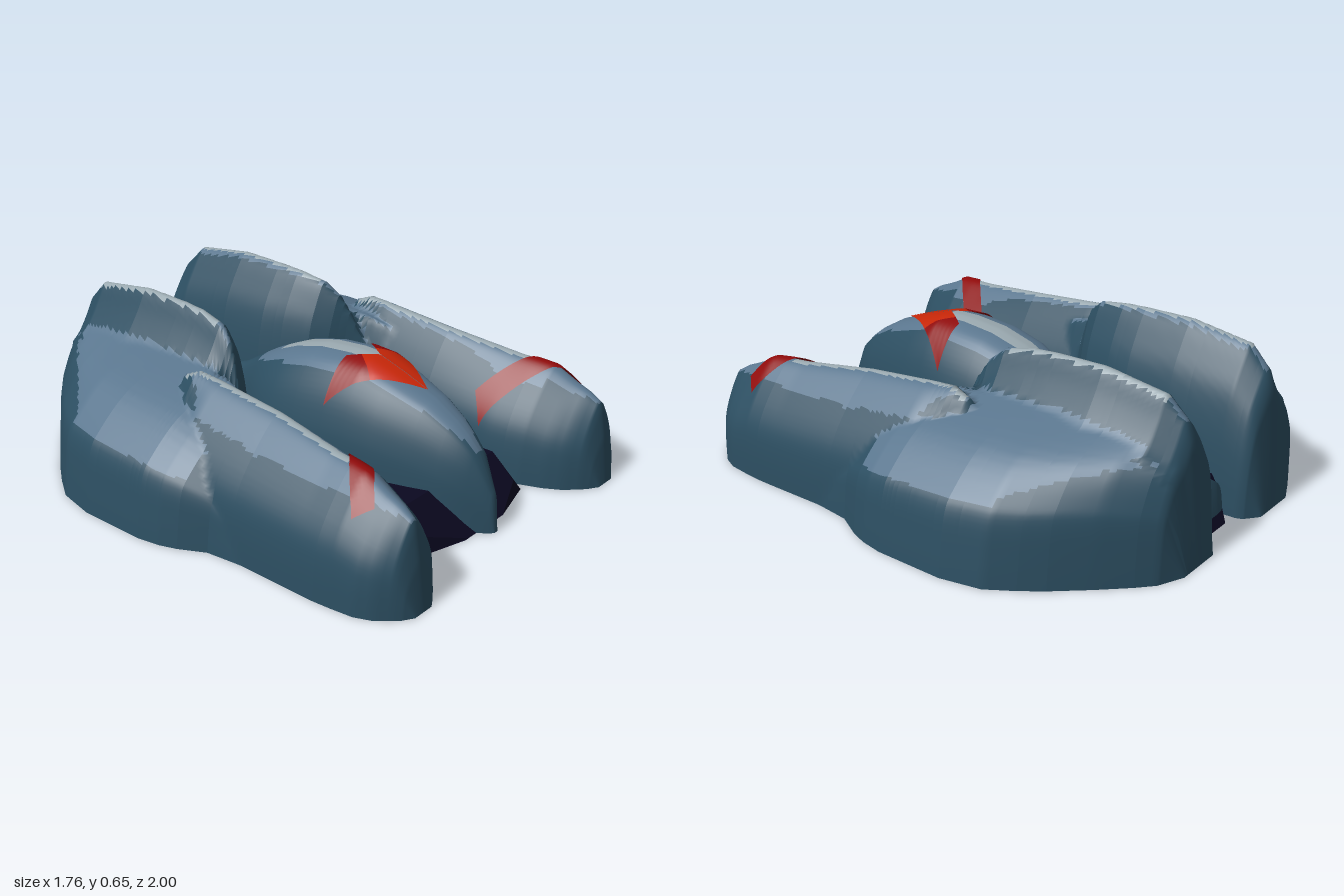
import * as THREE from 'three';

const mat = (name, color) => new THREE.MeshStandardMaterial({ name, color, side: THREE.DoubleSide });
const smooth = (pts, n) =>
  new THREE.SplineCurve(pts.map(p => new THREE.Vector2(...p))).getPoints(n).map(p => [p.x, p.y]);

// Half-profiles: [fraction from rim to ridge, fraction of height]
const POD = smooth([[0, 0], [0.03, 0.26], [0.1, 0.46], [0.25, 0.62], [0.5, 0.79], [0.75, 0.925], [0.9, 0.985], [1, 1]], 24);
const RIDGE = smooth([[0, 0], [0.03, 0.25], [0.12, 0.5], [0.3, 0.72], [0.6, 0.88], [0.85, 0.98], [1, 1]], 24);
const FLANK = smooth([[0, 0], [0.03, 0.22], [0.08, 0.48], [0.18, 0.62], [0.5, 0.85], [1, 1]], 24);
const VALLEY = smooth([[0, 0.7], [0.3, 0.76], [0.65, 0.88], [0.88, 0.98], [1, 1]], 16);
const ROUND = smooth([[0, 0], [0.03, 0.4], [0.1, 0.6], [0.25, 0.78], [0.5, 0.93], [0.75, 0.985], [1, 1]], 24);
const PLATE = [[0, 0], [0.17, 1], [1, 1]];

// Masses of a side pod, front to back: [z, inner x, ridge x, outer x, height]
const frontPod = { inner: POD, outer: POD, sections: [
  [1.0, 0.54, 0.58, 0.63, 0], [0.975, 0.5, 0.585, 0.67, 0.2], [0.95, 0.47, 0.585, 0.695, 0.33],
  [0.9, 0.425, 0.58, 0.735, 0.36], [0.84, 0.39, 0.575, 0.76, 0.385], [0.75, 0.355, 0.57, 0.77, 0.43],
  [0.68, 0.34, 0.56, 0.775, 0.437], [0.6, 0.33, 0.55, 0.775, 0.442], [0.3, 0.325, 0.51, 0.77, 0.48],
  [0, 0.325, 0.5, 0.77, 0.51], [-0.1, 0.35, 0.5, 0.7, 0.52], [-0.17, 0.4, 0.5, 0.63, 0.49],
  [-0.21, 0.44, 0.5, 0.58, 0.42]] };
const rearRidge = { inner: RIDGE, outer: VALLEY, sections: [
  [0.02, 0.35, 0.38, 0.42, 0], [-0.04, 0.32, 0.36, 0.42, 0.4], [-0.08, 0.28, 0.34, 0.43, 0.5],
  [-0.12, 0.22, 0.32, 0.44, 0.57], [-0.18, 0.165, 0.3, 0.45, 0.62], [-0.3, 0.13, 0.287, 0.45, 0.643],
  [-0.4, 0.11, 0.285, 0.45, 0.65], [-0.6, 0.1, 0.285, 0.45, 0.655], [-0.85, 0.1, 0.285, 0.43, 0.62],
  [-0.93, 0.105, 0.28, 0.41, 0.54], [-0.955, 0.115, 0.275, 0.4, 0.48], [-1.0, 0.17, 0.27, 0.36, 0]] };
const rearFlank = { inner: POD, outer: FLANK, sections: [
  [0.4, 0.36, 0.5, 0.765, 0.24], [0.2, 0.35, 0.48, 0.787, 0.35], [0.1, 0.35, 0.45, 0.84, 0.42],
  [0.03, 0.34, 0.43, 0.865, 0.45], [-0.06, 0.33, 0.41, 0.88, 0.475], [-0.34, 0.3, 0.4, 0.88, 0.49],
  [-0.5, 0.3, 0.4, 0.845, 0.49], [-0.6, 0.3, 0.39, 0.78, 0.485], [-0.68, 0.3, 0.385, 0.72, 0.485],
  [-0.8, 0.28, 0.37, 0.615, 0.48], [-0.9, 0.25, 0.33, 0.52, 0.46], [-0.955, 0.2, 0.3, 0.46, 0.43],
  [-1.0, 0.2, 0.25, 0.36, 0]] };

// Section of a mass at z, or null beyond its ends
function sectionAt({ sections }, z) {
  for (let k = 0; k < sections.length - 1; k++) {
    const a = sections[k], b = sections[k + 1];
    if (z <= a[0] && z >= b[0]) return a.map((v, i) => v + (b[i] - v) * (a[0] - z) / (a[0] - b[0]));
  }
  return null;
}

function heightAt(mass, [, xi, xp, xo, h], x) {
  if (x < xi || x > xo) return 0;
  const [u, profile] = x < xp ? [(x - xi) / (xp - xi), mass.inner] : [(xo - x) / (xo - xp), mass.outer];
  const k = Math.min(Math.max(profile.findIndex(p => p[0] >= u), 1), profile.length - 1);
  const [a, b] = [profile[k - 1], profile[k]];
  return h * (a[1] + (b[1] - a[1]) * Math.min(1, (u - a[0]) / (b[0] - a[0])));
}

// Grid of points to a smooth surface; shade(x, z, upwardness) picks each quad's material
function gridGeometry(rows, shade = () => 0) {
  const n = rows[0].length, lists = [[], [], []];
  const s = new THREE.Vector3(), t = new THREE.Vector3();
  for (let j = 0; j < rows.length - 1; j++) {
    for (let i = 0; i < n - 1; i++) {
      const A = rows[j][i], B = rows[j][i + 1], C = rows[j + 1][i], D = rows[j + 1][i + 1];
      s.set(D[0] - A[0], D[1] - A[1], D[2] - A[2]);
      t.set(C[0] - B[0], C[1] - B[1], C[2] - B[2]);
      const up = s.cross(t).normalize().y;
      const a = j * n + i, b = a + 1, c = a + n, d = c + 1;
      lists[shade((A[0] + D[0]) / 2, (A[2] + D[2]) / 2, up)].push(a, b, c, b, d, c);
    }
  }
  const g = new THREE.BufferGeometry();
  g.setAttribute('position', new THREE.Float32BufferAttribute(rows.flat(2), 3));
  g.setIndex(lists.flat());
  let start = 0;
  lists.forEach((list, k) => {
    if (list.length) g.addGroup(start, list.length, k);
    start += list.length;
  });
  g.computeVertexNormals();
  return g;
}

// One open-bottomed shell around several masses
function shell(masses, shade, columns = 80) {
  const zs = new Set(masses.flatMap(m => m.sections.map(s => s[0])));
  for (let k = 0; k <= 100; k++) zs.add(1 - k / 50);
  const rows = [...zs].sort((a, b) => b - a).map(z => {
    const here = masses.map(m => [m, sectionAt(m, z)]).filter(p => p[1]);
    const x0 = Math.min(...here.map(p => p[1][1])), x1 = Math.max(...here.map(p => p[1][3]));
    return Array.from({ length: columns + 1 }, (_, i) => {
      const x = x0 + (x1 - x0) * (1 - Math.cos(Math.PI * i / columns)) / 2;
      const rim = i === 0 || i === columns;
      return [x, rim ? 0 : Math.max(...here.map(p => heightAt(...p, x))), z];
    });
  });
  return gridGeometry(rows, shade);
}

// Symmetric open-bottomed hull from [z, half width, height]
function hull(sections, profile, shade) {
  return gridGeometry(sections.map(([z, w, h]) => [
    ...profile.map(([u, v]) => [w * (u - 1), h * v, z]),
    ...profile.slice(0, -1).reverse().map(([u, v]) => [w * (1 - u), h * v, z]),
  ]), shade);
}

// Thin painted patch laid on a surface; at(s, t) gives its [x, z]
function drape(target, at, ns, nt) {
  const ray = new THREE.Raycaster(), down = new THREE.Vector3(0, -1, 0), rows = [];
  let last = [0, 0, 0];
  for (let j = 0; j <= nt; j++) {
    rows.push(Array.from({ length: ns + 1 }, (_, i) => {
      const [x, z] = at(i / ns, j / nt);
      // a hair off the grid lines, so that no ray slips between two faces
      ray.set(new THREE.Vector3(x + 0.0003, 2, z + 0.0002), down);
      const hit = ray.intersectObject(target)[0];
      if (hit) last = hit.point.addScaledVector(hit.face.normal, 0.007).toArray();
      return last;
    }));
  }
  return gridGeometry(rows);
}

export function createModel() {
  const model = new THREE.Group();
  model.name = 'hoverCraft';
  const blue = mat('dark blue hull', 0x2c4e61);
  const slate = mat('light slate upper panels', 0x5a768e);
  const pale = mat('pale grey ridge lines', 0x9aa9b0);
  const navy = mat('dark navy base', 0x0b0820);
  const red = mat('dark red paint', 0x8e0909);
  const orange = mat('bright red canopy', 0xc62608);
  const hullPaint = [blue, slate, pale];
  const make = (name, geometry, material) => {
    const m = new THREE.Mesh(geometry, material);
    m.name = name;
    return m;
  };

  // Side pod: light upper panels and a pale line along each ridge
  const onRidge = (mass, x, z, front, back) =>
    z < front && z > back && Math.abs(x - sectionAt(mass, z)[2]) < 0.017;
  const sidePod = make('sidePod', shell([frontPod, rearRidge, rearFlank], (x, z, up) => {
    if (onRidge(frontPod, x, z, 0.65, -0.15) || onRidge(rearRidge, x, z, -0.2, -0.86)) return 2;
    return up > 0.66 ? 1 : 0;
  }), hullPaint);
  const podStripe = make('podStripe', drape(sidePod, (s, t) => [
    0.372 + 0.288 * s + 0.05 * (t - 0.5), 0.535 + 0.265 * s - 0.056 * (t - 0.5),
  ], 30, 6), red);

  // Central fuselage tapering into a thin tail
  const fuselage = make('fuselage', hull([
    [0.89, 0.01, 0], [0.87, 0.03, 0.16], [0.8, 0.08, 0.3], [0.75, 0.105, 0.35], [0.7, 0.13, 0.39],
    [0.6, 0.165, 0.45], [0.45, 0.21, 0.505], [0.34, 0.23, 0.54], [0.24, 0.24, 0.543], [0.1, 0.245, 0.53],
    [-0.03, 0.235, 0.495], [-0.12, 0.2, 0.455], [-0.17, 0.175, 0.43], [-0.22, 0.145, 0.4],
    [-0.33, 0.075, 0.33], [-0.45, 0.042, 0.28], [-0.75, 0.036, 0.21], [-0.83, 0.055, 0.19],
    [-0.88, 0.085, 0.17], [-0.9, 0.07, 0],
  ], ROUND, (x, z, up) => {
    if (Math.abs(x) < 0.045 && z < 0.35 && z > -0.12) return 2;
    return up > 0.66 && z > -0.2 ? 1 : 0;
  }), hullPaint);

  // V-shaped canopy paint: outer wings, then the bright middle
  const canopy = (from, to) => drape(fuselage, (s, t) => {
    const k = from + (to - from) * s;
    return [(1 - k) * (0.07 + 0.13 * t), 0.24 + k * (0.1 + 0.22 * t)];
  }, 14, 10);
  const canopyWing = make('canopyWing', canopy(0, 0.45), red);
  const canopyPane = make('canopyPane', canopy(0.45, 1), orange);

  for (const side of [1, -1]) {
    const half = new THREE.Group();
    half.name = side > 0 ? 'leftSide' : 'rightSide';
    half.add(...[sidePod, podStripe, canopyWing, canopyPane].map(m => m.clone()));
    half.scale.x = side;
    model.add(half);
  }

  // Flat base deck with sloping edges, open underneath
  const deck = hull([
    [0.84, 0.12, 0], [0.78, 0.33, 0.06], [0.68, 0.33, 0.15], [0, 0.33, 0.15],
    [-0.5, 0.25, 0.15], [-0.82, 0.15, 0.15], [-0.92, 0.05, 0],
  ], PLATE).toNonIndexed();
  deck.computeVertexNormals();
  model.add(fuselage, make('baseDeck', deck, navy));
  return model;
}
